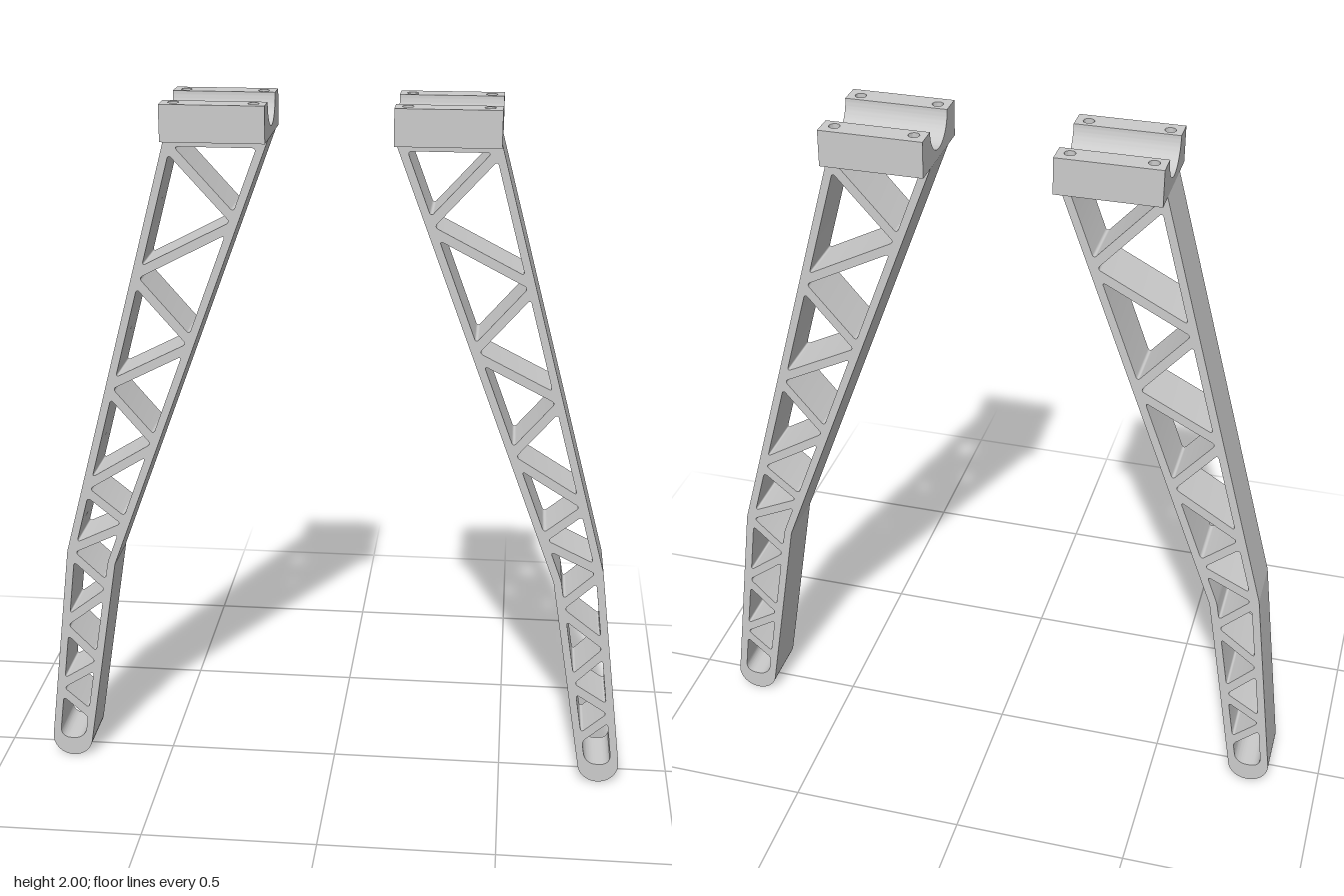
import * as THREE from 'three';
import { toCreasedNormals } from 'three/addons/utils/BufferGeometryUtils.js';

const WALL = 0.022, STRUT = 0.013, TOP = 1.9, HALF_DEPTH = 0.08;
const FOOT = { x: 0.793, y: 0.06, r: 0.06, start: Math.PI + 0.164, end: 2 * Math.PI + 0.12 };

// Leg edges as [x, y] from top to foot, meeting the foot arc tangentially
const footPoint = (angle) => [FOOT.x + FOOT.r * Math.cos(angle), FOOT.y + FOOT.r * Math.sin(angle)];
const OUTER = [[0.452, TOP], [0.778, 0.68], footPoint(FOOT.end)];
const INNER = [[0.17, TOP], [0.638, 0.643], footPoint(FOOT.start)];

// Point on a leg edge at height y
function edgePoint([a, b, c], y) {
  const [p, q] = y > b[1] ? [a, b] : [b, c];
  const t = (y - p[1]) / (q[1] - p[1]);
  return new THREE.Vector2(p[0] + (q[0] - p[0]) * t, y);
}

// Move edge i (from point i to i + 1) inwards by offsets[i]
function inset(points, offsets) {
  const side = THREE.ShapeUtils.area(points) > 0 ? 1 : -1;
  const lines = points.map((p, i) => {
    const d = points[(i + 1) % points.length].clone().sub(p).normalize();
    const n = new THREE.Vector2(-d.y, d.x).multiplyScalar(side * offsets[i]);
    return { p: p.clone().add(n), d };
  });
  return lines.map((b, i) => {
    const a = lines[(i + lines.length - 1) % lines.length];
    const t = b.p.clone().sub(a.p).cross(b.d) / a.d.cross(b.d);
    return a.p.clone().addScaledVector(a.d, t);
  });
}

// Closed path with softened corners; cuts[i] is the length trimmed at corner i
function roundedPath(points, cuts) {
  const path = new THREE.Path();
  const count = points.length;
  points.forEach((p, i) => {
    const toward = (q, d) => p.clone().add(q.clone().sub(p).setLength(d));
    const prev = points[(i + count - 1) % count], next = points[(i + 1) % count];
    const a = toward(prev, cuts[i]), b = toward(next, cuts[i]);
    if (i === 0) path.moveTo(a.x, a.y);
    else path.lineTo(a.x, a.y);
    const c = a.clone().lerp(p, 0.58), d = b.clone().lerp(p, 0.58);
    path.bezierCurveTo(c.x, c.y, d.x, d.y, b.x, b.y);
  });
  path.closePath();
  return path;
}

function extrude(shape, depth, curveSegments) {
  const geometry = new THREE.ExtrudeGeometry(shape, { depth, curveSegments, bevelEnabled: false });
  return geometry.translate(0, 0, -depth / 2);
}

// Truss leg: counter-clockwise outline with a rounded foot and a zigzag of openings
function legGeometry() {
  const shape = new THREE.Shape();
  shape.moveTo(...OUTER[0]);
  shape.lineTo(...INNER[0]);
  shape.lineTo(...INNER[1]);
  shape.lineTo(...INNER[2]);
  shape.absarc(FOOT.x, FOOT.y, FOOT.r, FOOT.start, FOOT.end, false);
  shape.lineTo(...OUTER[1]);
  shape.closePath();

  // Zigzag joints alternate between the inner and outer edge
  const heights = [1.89, 1.89, 1.67, 1.515, 1.32, 1.19, 1.02, 0.88, 0.77, 0.68, 0.56, 0.44, 0.32, 0.23, 0.13];
  const joints = heights.map((y, i) => edgePoint(i % 2 ? OUTER : INNER, y));
  const kink = INNER[1];
  for (let i = 0; i + 2 < joints.length; i++) {
    const points = [joints[i], joints[i + 1], joints[i + 2]];
    const offsets = [STRUT, STRUT, WALL];
    if (i % 2 === 0 && heights[i] > kink[1] && heights[i + 2] < kink[1]) {
      points.push(new THREE.Vector2(...kink));
      offsets.push(WALL);
    }
    const corners = inset(points, offsets);
    shape.holes.push(roundedPath(corners, corners.map(() => 0.012)));
  }

  // Round-bottomed slot above the foot
  const slot = inset([
    joints[13], joints[14], edgePoint(INNER, 0.03), edgePoint(OUTER, 0.03),
  ], [STRUT, WALL, 0.028, WALL]);
  shape.holes.push(roundedPath(slot, [0.012, 0.012, 0.033, 0.033]));

  return toCreasedNormals(extrude(shape, 2 * HALF_DEPTH, 36), 0.13);
}

const BLOCK = { x0: 0.17, x1: 0.452, z: 0.14, groove: 0.075, height: 0.1 };

// Grooved middle of the clamp block, extruded along x
function cradleGeometry() {
  const { x0, x1, groove, height } = BLOCK;
  const shape = new THREE.Shape();
  shape.moveTo(-groove, -height);
  shape.lineTo(groove, -height);
  shape.lineTo(groove, 0);
  shape.absarc(0, 0, groove, 0, -Math.PI, true);
  shape.closePath();
  const geometry = extrude(shape, x1 - x0, 32);
  geometry.rotateY(Math.PI / 2).translate((x0 + x1) / 2, TOP + height, 0);
  return toCreasedNormals(geometry, 0.5);
}

// Side flange with two bolt holes, extruded upwards
function flangeGeometry() {
  const { x0, x1, z, groove, height } = BLOCK;
  const shape = new THREE.Shape();
  shape.moveTo(x0, groove);
  shape.lineTo(x1, groove);
  shape.lineTo(x1, z);
  shape.lineTo(x0, z);
  shape.closePath();
  for (const x of [x0 + 0.034, x1 - 0.034]) {
    const hole = new THREE.Path();
    hole.absarc(x, 0.103, 0.015, 0, Math.PI * 2, true);
    shape.holes.push(hole);
  }
  const geometry = extrude(shape, height, 20);
  geometry.rotateX(Math.PI / 2).translate(0, TOP + height / 2, 0);
  return toCreasedNormals(geometry, 0.5);
}

export function createModel() {
  const model = new THREE.Group();
  model.name = 'trussLegPair';
  const material = new THREE.MeshStandardMaterial({ color: 0xcccccc });
  const leg = legGeometry(), cradle = cradleGeometry(), flange = flangeGeometry();

  const add = (parent, name, geometry) => {
    const mesh = new THREE.Mesh(geometry, material);
    mesh.name = name;
    parent.add(mesh);
    return mesh;
  };

  // Each leg is symmetric front to back, so a half turn gives the opposite one
  for (const [name, turn] of [['leftLeg', 0], ['rightLeg', Math.PI]]) {
    const side = new THREE.Group();
    side.name = name;
    add(side, 'trussBeam', leg);
    add(side, 'clampCradle', cradle);
    add(side, 'frontFlange', flange);
    const back = add(side, 'backFlange', flange);
    back.rotation.y = Math.PI;
    back.position.x = BLOCK.x0 + BLOCK.x1;
    side.rotation.y = turn;
    model.add(side);
  }
  return model;
}
